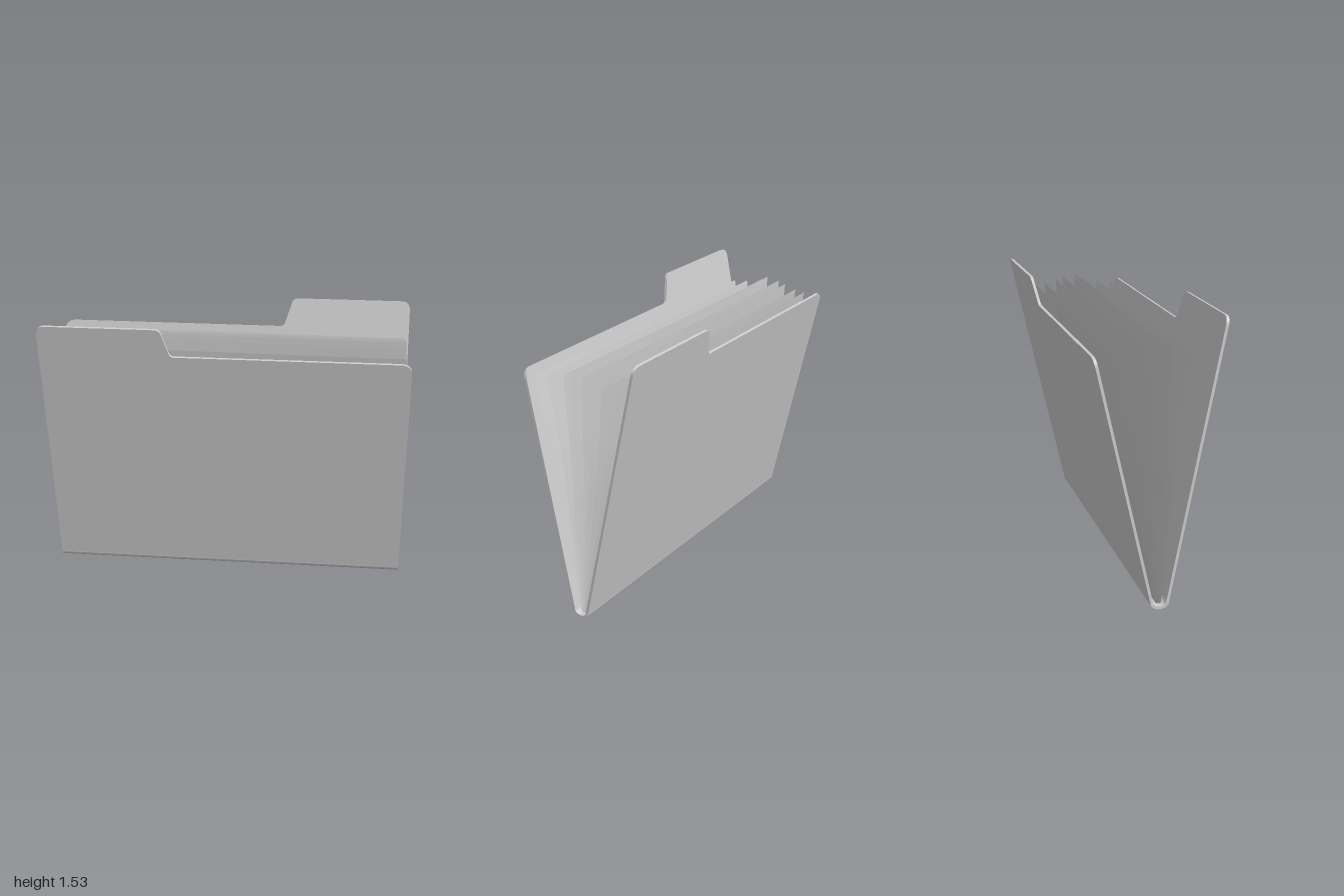
import * as THREE from 'three';
import { toCreasedNormals } from 'three/addons/utils/BufferGeometryUtils.js';

const THICK = 0.015, SPINE_Z = 0.02, SPINE_Y = 0.035, SPINE_R = 0.05;
const card = new THREE.MeshStandardMaterial({ color: 0xcccccc });
const paper = new THREE.MeshStandardMaterial({ color: 0xcccccc, side: THREE.DoubleSide });

// Tabbed cover outline, tab on the -x side, hinge along y = 0
function coverGeometry() {
  const top = 1.518, shoulder = 1.356, s = new THREE.Shape();
  s.moveTo(-1, 0);
  s.lineTo(1, 0);
  s.lineTo(1, shoulder - 0.06);
  s.quadraticCurveTo(1, shoulder, 0.94, shoulder);
  s.lineTo(-0.26, shoulder);
  s.quadraticCurveTo(-0.284, shoulder, -0.291, shoulder + 0.024);
  s.lineTo(-0.325, top - 0.03);
  s.quadraticCurveTo(-0.335, top, -0.36, top);
  s.lineTo(-0.95, top);
  s.quadraticCurveTo(-1, top, -1, top - 0.05);
  s.closePath();
  const g = new THREE.ExtrudeGeometry(s, { depth: THICK, bevelEnabled: false, curveSegments: 8 });
  g.translate(0, 0, -THICK);
  return toCreasedNormals(g, 0.6);
}

// Rounded trough joining the two covers
function spineGeometry() {
  const s = new THREE.Shape();
  s.absellipse(SPINE_Z, SPINE_Y, SPINE_R, SPINE_Y, 0, Math.PI, true);
  s.absellipse(SPINE_Z, SPINE_Y, SPINE_R - THICK, SPINE_Y - THICK, Math.PI, 0, false);
  s.closePath();
  const g = new THREE.ExtrudeGeometry(s, { depth: 2, bevelEnabled: false, curveSegments: 16 });
  g.rotateY(-Math.PI / 2);
  g.translate(1, 0, 0);
  return toCreasedNormals(g, 0.6);
}

// Thin sheet following a fanned side profile, with a slight wave along its width
function sheetGeometry([zLow, zMid, zTop, yTop], base) {
  const profile = new THREE.CatmullRomCurve3([
    new THREE.Vector3(0, 0.02, base),
    new THREE.Vector3(0, 0.45, zLow),
    new THREE.Vector3(0, 0.9, zMid),
    new THREE.Vector3(0, yTop, zTop),
  ]);
  const g = new THREE.PlaneGeometry(1.95, 1, 28, 16);
  const p = g.attributes.position, v = new THREE.Vector3();
  for (let i = 0; i < p.count; i++) {
    const t = p.getY(i) + 0.5, x = p.getX(i);
    profile.getPoint(t, v);
    p.setXYZ(i, x, v.y, v.z - 0.011 * t * t * Math.cos(2.2 * (x + 0.45)));
  }
  g.computeVertexNormals();
  return g;
}

export function createModel() {
  const folder = new THREE.Group();
  folder.name = 'folder';

  // Covers: the back one is the front one turned about y
  const cover = coverGeometry();
  for (const [name, turn, tilt] of [['frontCover', 0, 0.194], ['backCover', Math.PI, 0.223]]) {
    const side = new THREE.Group();
    side.name = name;
    side.position.set(0, SPINE_Y, SPINE_Z);
    side.rotation.y = turn;
    const panel = new THREE.Mesh(cover, card);
    panel.name = name + 'Panel';
    panel.position.z = SPINE_R;
    panel.rotation.x = tilt;
    side.add(panel);
    folder.add(side);
  }

  const spine = new THREE.Mesh(spineGeometry(), card);
  spine.name = 'spine';
  folder.add(spine);

  // Sheets, front to back: z at low, middle and top, then top height
  const sheets = [
    [0.1, 0.178, 0.27, 1.34], [0.07, 0.112, 0.182, 1.354],
    [0.045, 0.055, 0.077, 1.378], [0.03, 0.027, 0.038, 1.4],
    [0, -0.022, -0.044, 1.39], [-0.015, -0.06, -0.087, 1.374],
    [-0.043, -0.11, -0.161, 1.354], [-0.075, -0.16, -0.22, 1.345],
  ];
  sheets.forEach((row, i) => {
    const sheet = new THREE.Mesh(sheetGeometry(row, SPINE_Z + 0.012 - i * 0.0034), paper);
    sheet.name = 'sheet' + (i + 1);
    folder.add(sheet);
  });
  return folder;
}
